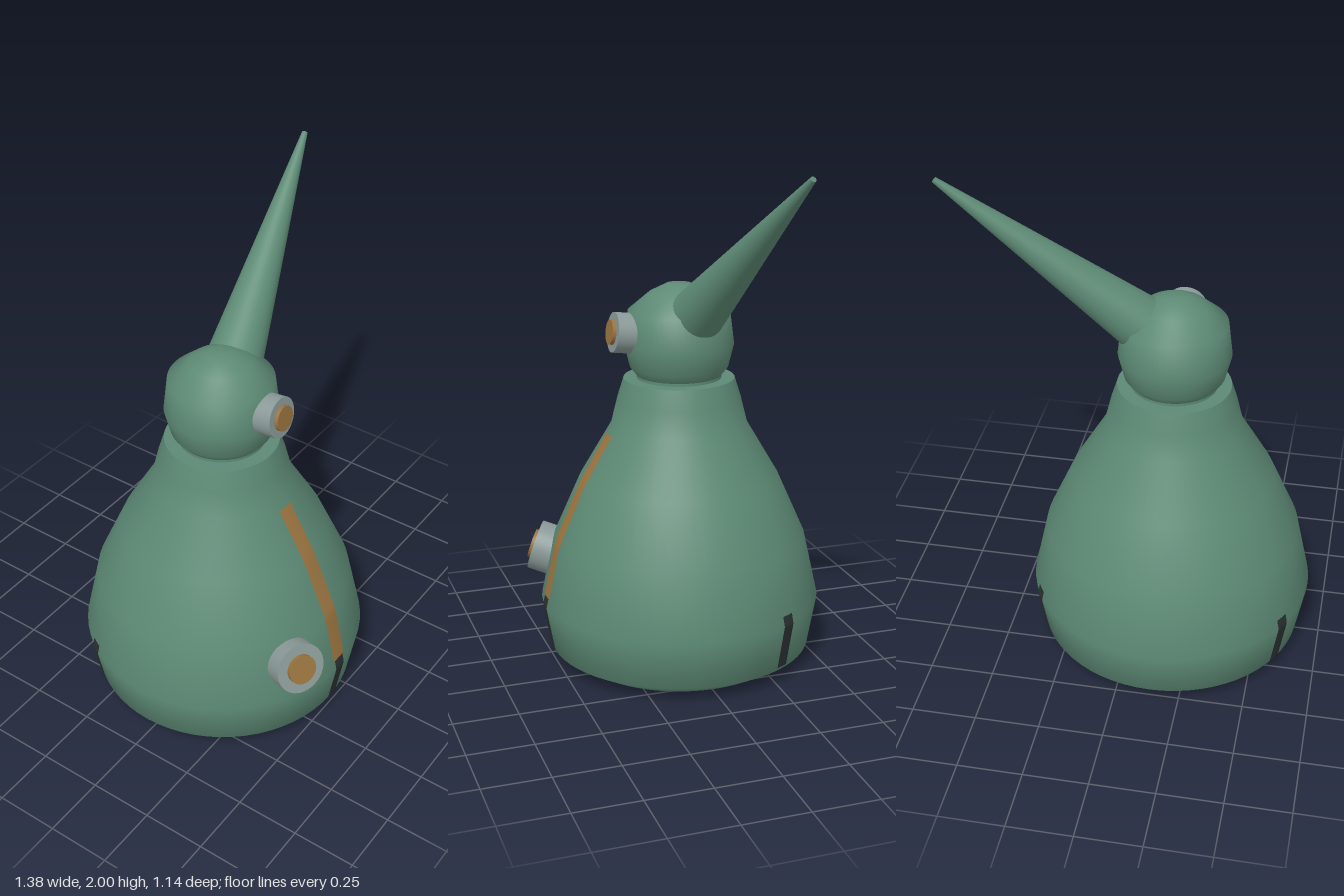
import * as THREE from 'three';

const mat = (name, color) => {
  const m = new THREE.MeshStandardMaterial({ color });
  m.name = name;
  return m;
};

export function createModel() {
  const green = mat('green shell', 0x5d8a75);
  const grey = mat('grey rim', 0x8a9a98);
  const amber = mat('amber', 0x9a7440);
  const dark = mat('dark slot', 0x2a3030);
  amber.side = dark.side = THREE.DoubleSide;

  const model = new THREE.Group();
  model.name = 'hornedBell';
  // Everything is laid out around the body axis
  const root = new THREE.Group();
  root.name = 'figure';
  root.position.set(-0.138, 0, -0.01);
  model.add(root);

  const add = (name, geo, material, parent = root) => {
    const mesh = new THREE.Mesh(geo, material);
    mesh.name = name;
    parent.add(mesh);
    return mesh;
  };
  const lathe = (pts, n = 64) =>
    new THREE.LatheGeometry(pts.map(([r, y]) => new THREE.Vector2(r, y)), n);

  // Bell-shaped body
  const profile = [[0.425, 0], [0.52, 0.055], [0.555, 0.25], [0.5, 0.5],
    [0.394, 0.74], [0.268, 0.955], [0.242, 1.06], [0.217, 1.14]];
  add('body', lathe(profile), green);
  add('base', lathe([[0, 0], [0.425, 0]]), green);
  add('shoulder', lathe([[0.217, 1.14], [0, 1.14]]), green);

  // Head
  add('neck', lathe([[0.165, 1.13], [0.165, 1.155]]), green);
  add('head', lathe([[0.16, 1.145], [0.192, 1.185], [0.214, 1.275], [0.198, 1.405],
    [0.115, 1.475], [0.05, 1.508], [0, 1.51]]), green);

  // Horn pointing outward from the head centre
  const headCentre = new THREE.Vector3(0, 1.3, 0);
  const tip = new THREE.Vector3(0.82, 1.99, -0.193);
  const start = headCentre.clone().lerp(tip, 0.13);
  const horn = add('horn', new THREE.CylinderGeometry(0.011, 0.109, start.distanceTo(tip), 32), green);
  horn.position.copy(start).add(tip).multiplyScalar(0.5);
  horn.quaternion.setFromUnitVectors(new THREE.Vector3(0, 1, 0), tip.clone().sub(start).normalize());

  // Round lamp: rim and slightly raised lens, aimed along yaw and pitch
  const lamp = (name, pos, r, lensR, depth, yaw, pitch) => {
    const g = new THREE.Group();
    g.name = name;
    g.position.set(...pos);
    g.rotation.set(-pitch, yaw, 0, 'YXZ');
    const rim = add(name + 'Rim', new THREE.CylinderGeometry(r, r, depth, 40), grey, g);
    rim.rotation.x = Math.PI / 2;
    rim.position.z = -depth / 2;
    const lens = add(name + 'Lens', new THREE.CylinderGeometry(lensR, lensR, 0.03, 32), amber, g);
    lens.rotation.x = Math.PI / 2;
    root.add(g);
  };
  lamp('eye', [0, 1.335, 0.266], 0.078, 0.048, 0.09, 0, 0.13);
  lamp('bodyLamp', [-0.245, 0.423, 0.533], 0.1, 0.058, 0.11, -0.43, 0.31);

  // Strips that hug the body surface
  const radiusAt = (y) => {
    const i = Math.max(1, profile.findIndex((p) => p[1] >= y));
    const [r0, y0] = profile[i - 1], [r1, y1] = profile[i];
    return r0 + (r1 - r0) * (y - y0) / (y1 - y0);
  };
  const strip = (name, width, y0, y1, material, angle) => {
    const geo = new THREE.PlaneGeometry(width, y1 - y0, 4, 24);
    const p = geo.attributes.position;
    for (let i = 0; i < p.count; i++) {
      const x = p.getX(i), y = p.getY(i) + (y0 + y1) / 2;
      p.setXYZ(i, x, y, Math.sqrt(radiusAt(y) ** 2 - x * x) + 0.006);
    }
    geo.computeVertexNormals();
    add(name, geo, material).rotation.y = angle;
  };
  strip('frontStripe', 0.07, 0.29, 0.93, amber, 0);
  for (let i = 0; i < 3; i++) strip('slot' + i, 0.054, 0.07, 0.29, dark, i * Math.PI * 2 / 3);

  return model;
}
